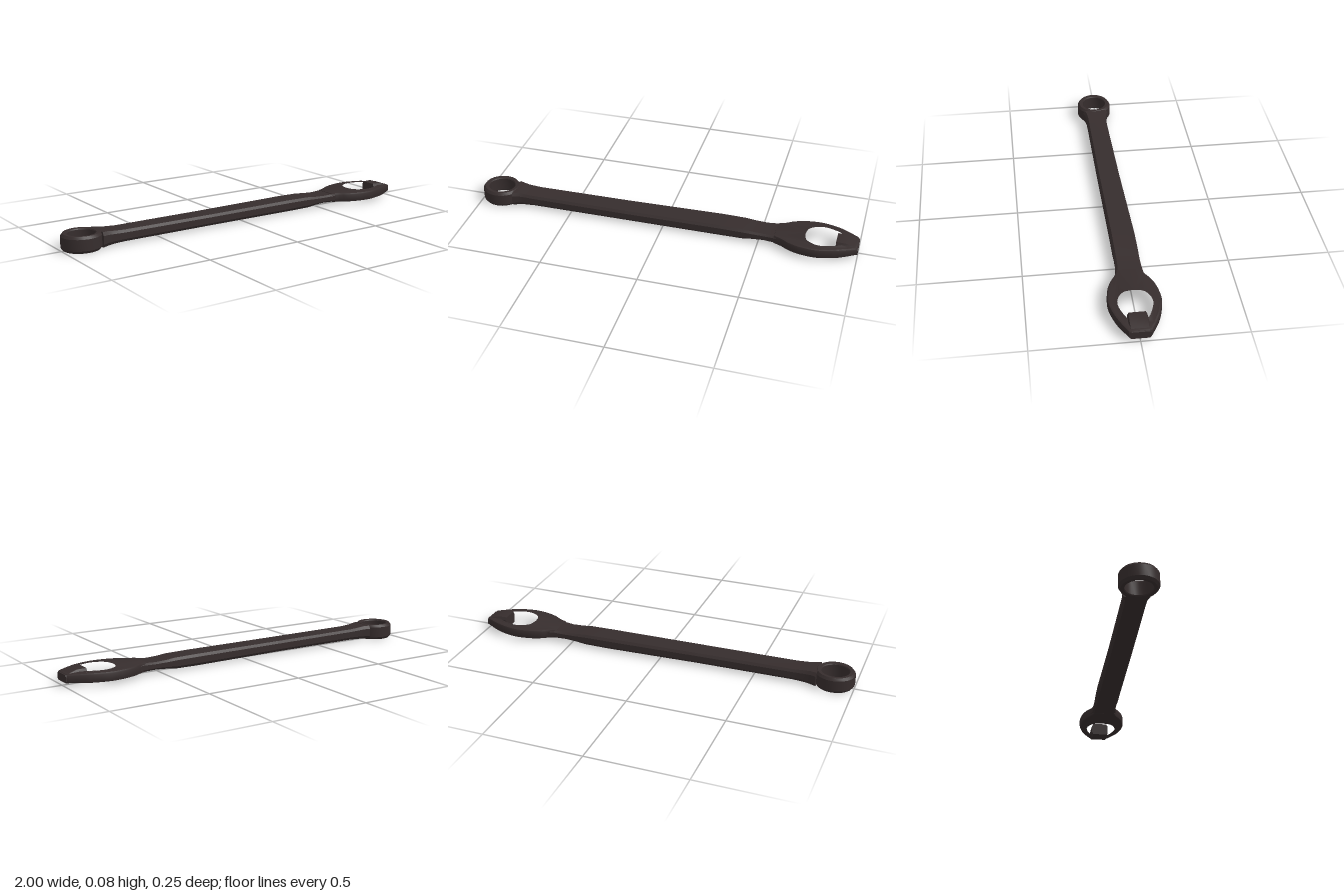
import * as THREE from 'three';
import { toCreasedNormals } from 'three/addons/utils/BufferGeometryUtils.js';

// Unit cross-section [y, z], running from the top edge towards +z
const SECTION = [[1, 0.84], [0.55, 1], [-0.55, 1], [-1, 0.84], [-1, -0.84], [-0.55, -1], [0.55, -1], [1, -0.84]];

// Skin a bar through stations of [x, centre z, half width, bottom y, top y]
function loft(stations) {
  const n = SECTION.length;
  const positions = [];
  const index = [];
  for (const [x, cz, w, y0, y1] of stations) {
    for (const [sy, sz] of SECTION) {
      positions.push(x, (y0 + y1) / 2 + (sy * (y1 - y0)) / 2, cz + sz * w);
    }
  }
  for (let i = 0; i < stations.length - 1; i++) {
    for (let j = 0; j < n; j++) {
      const k = (j + 1) % n;
      const a = i * n + j, b = i * n + k, c = a + n, d = b + n;
      index.push(a, b, c, b, d, c);
    }
  }
  const end = (stations.length - 1) * n;
  for (let j = 1; j < n - 1; j++) {
    index.push(0, j + 1, j, end, end + j, end + j + 1);
  }
  const geo = new THREE.BufferGeometry();
  geo.setAttribute('position', new THREE.Float32BufferAttribute(positions, 3));
  geo.setIndex(index);
  return toCreasedNormals(geo, 0.45);
}

// Smooth half outline, mirrored across the long axis
function mirroredOutline(points, steps) {
  const half = new THREE.SplineCurve(points.map(([x, y]) => new THREE.Vector2(x, y))).getPoints(steps);
  const other = half.filter((p) => p.y > 1e-6).reverse().map((p) => new THREE.Vector2(p.x, -p.y));
  return half.concat(other);
}

export function createModel() {
  const group = new THREE.Group();
  const steel = new THREE.MeshStandardMaterial({ color: 0x362d2d });
  steel.name = 'dark steel';
  const add = (name, geo) => {
    const mesh = new THREE.Mesh(geo, steel);
    mesh.name = name;
    group.add(mesh);
    return mesh;
  };

  // Long handle, flaring into both heads and dipping before the fork
  add('handle', loft([
    [-0.818, 0.01, 0.07, 0.006, 0.081],
    [-0.79, 0.01, 0.061, 0.008, 0.08],
    [-0.76, 0.01, 0.056, 0.011, 0.076],
    [-0.7, 0.01, 0.055, 0.014, 0.072],
    [-0.2, 0.005, 0.058, 0.014, 0.07],
    [0.3, -0.004, 0.062, 0.011, 0.07],
    [0.42, -0.004, 0.062, 0.012, 0.068],
    [0.47, -0.004, 0.061, 0.018, 0.063],
    [0.53, -0.004, 0.061, 0.022, 0.06],
    [0.6, -0.002, 0.067, 0.021, 0.064],
    [0.66, 0, 0.088, 0.021, 0.067],
  ]));

  // Ring head with chamfered rims
  const profile = [
    [0.072, 0.003], [0.09, 0.001], [0.1, 0.014], [0.1, 0.07],
    [0.09, 0.083], [0.072, 0.081], [0.069, 0.076], [0.069, 0.008], [0.072, 0.003],
  ].map(([r, y]) => new THREE.Vector2(r, y));
  const ringGeo = new THREE.LatheGeometry(profile, 22);
  ringGeo.scale(1, 1, 0.93);
  ringGeo.translate(-0.9, 0, 0.01);
  add('ringHead', toCreasedNormals(ringGeo, 0.5));

  // Open oval head: two curved arms around a hole
  const outline = mirroredOutline([
    [0.58, 0.058], [0.62, 0.074], [0.66, 0.098], [0.72, 0.118], [0.8, 0.125],
    [0.88, 0.108], [0.94, 0.083], [0.996, 0.052],
  ], 28);
  const shape = new THREE.Shape(outline);
  shape.holes.push(new THREE.Path(mirroredOutline([
    [0.722, 0], [0.733, 0.05], [0.77, 0.081], [0.82, 0.092], [0.88, 0.077], [0.93, 0.05], [0.95, 0],
  ], 18)));
  const bevel = 0.01;
  const headGeo = new THREE.ExtrudeGeometry(shape, {
    depth: 0.05 - 2 * bevel, bevelThickness: bevel, bevelSize: bevel, bevelOffset: -bevel, bevelSegments: 2,
  });
  headGeo.rotateX(-Math.PI / 2);
  headGeo.translate(0, 0.019 + bevel, 0);
  // Thin the arms towards the tip
  const pos = headGeo.attributes.position;
  for (let i = 0; i < pos.count; i++) {
    const t = THREE.MathUtils.clamp((pos.getX(i) - 0.9) / 0.1, 0, 1);
    pos.setY(i, 0.042 + (pos.getY(i) - 0.043) * (1 - 0.2 * t));
  }
  add('ovalHead', toCreasedNormals(headGeo, 0.5));

  // Wedge block joining the arms at the tip
  add('tipBlock', loft([
    [0.89, 0.002, 0.046, 0.012, 0.077],
    [0.94, 0.002, 0.049, 0.012, 0.077],
    [1, 0, 0.05, 0.02, 0.058],
  ]));

  return group;
}
